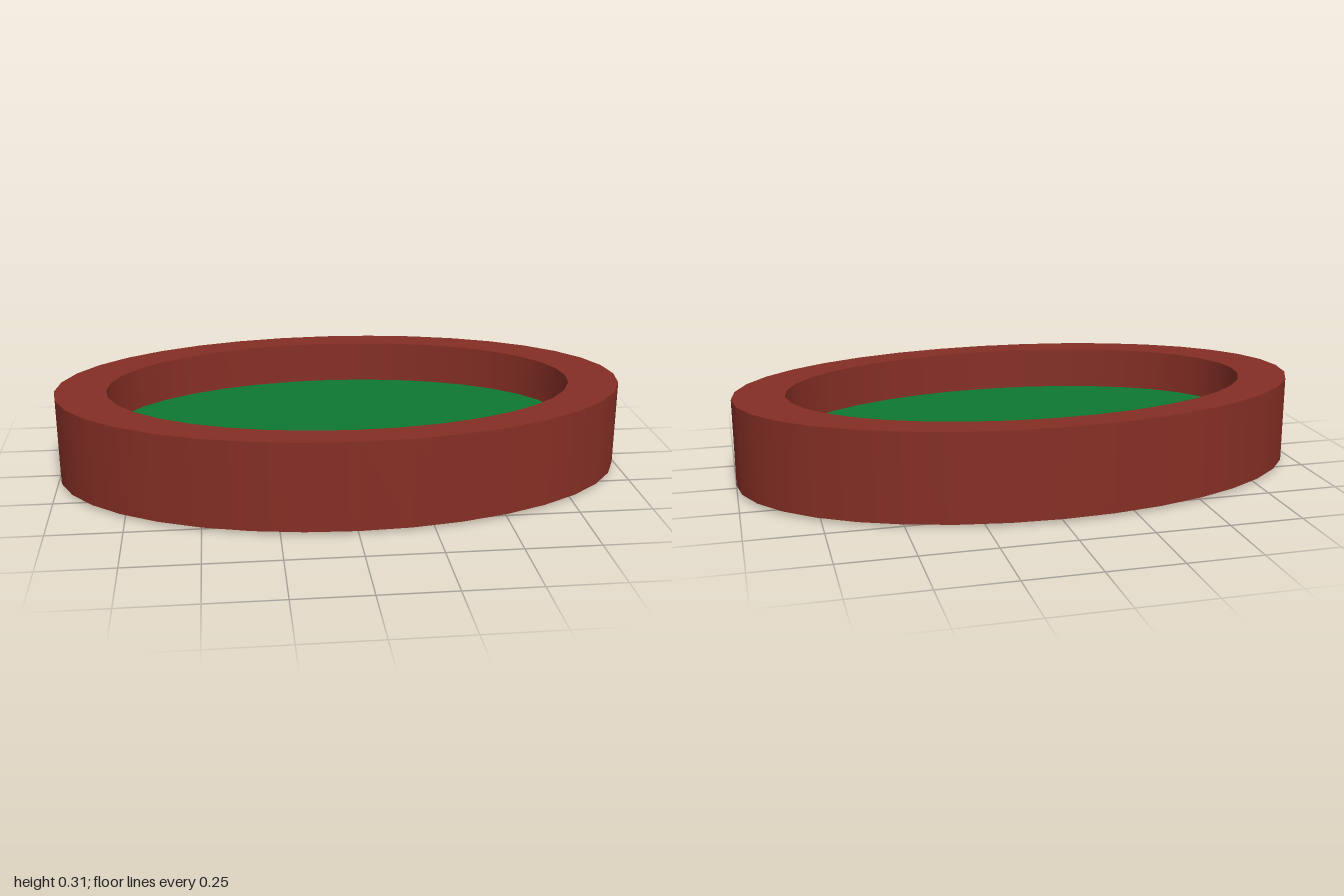
import * as THREE from 'three';

const SEGMENTS = 36;
const DEPTH_RATIO = 0.59; // oval depth relative to width

export function createModel() {
  const model = new THREE.Group();
  model.name = 'ovalTray';

  const wood = new THREE.MeshStandardMaterial({ color: 0x842e24 });
  wood.name = 'red brown wood';
  const felt = new THREE.MeshStandardMaterial({ color: 0x0f7831 });
  felt.name = 'green felt';

  const addOval = (name, geometry, material) => {
    geometry.scale(1, 1, DEPTH_RATIO);
    const mesh = new THREE.Mesh(geometry, material);
    mesh.name = name;
    model.add(mesh);
  };

  // Rim: closed rectangular profile, corners doubled to keep edges sharp
  const corners = [[0.82, 0.01], [1, 0.01], [1, 0.315], [0.82, 0.315]];
  const profile = corners.flatMap((corner, i) =>
    [corner, corners[(i + 1) % corners.length]].map(([r, y]) => new THREE.Vector2(r, y)));
  addOval('rim', new THREE.LatheGeometry(profile, SEGMENTS), wood);

  // Base: slightly wider than the opening, felt on its top face
  const base = new THREE.CylinderGeometry(0.833, 0.833, 0.165, SEGMENTS);
  base.translate(0, 0.0825, 0);
  addOval('base', base, [wood, felt, wood]);

  return model;
}
